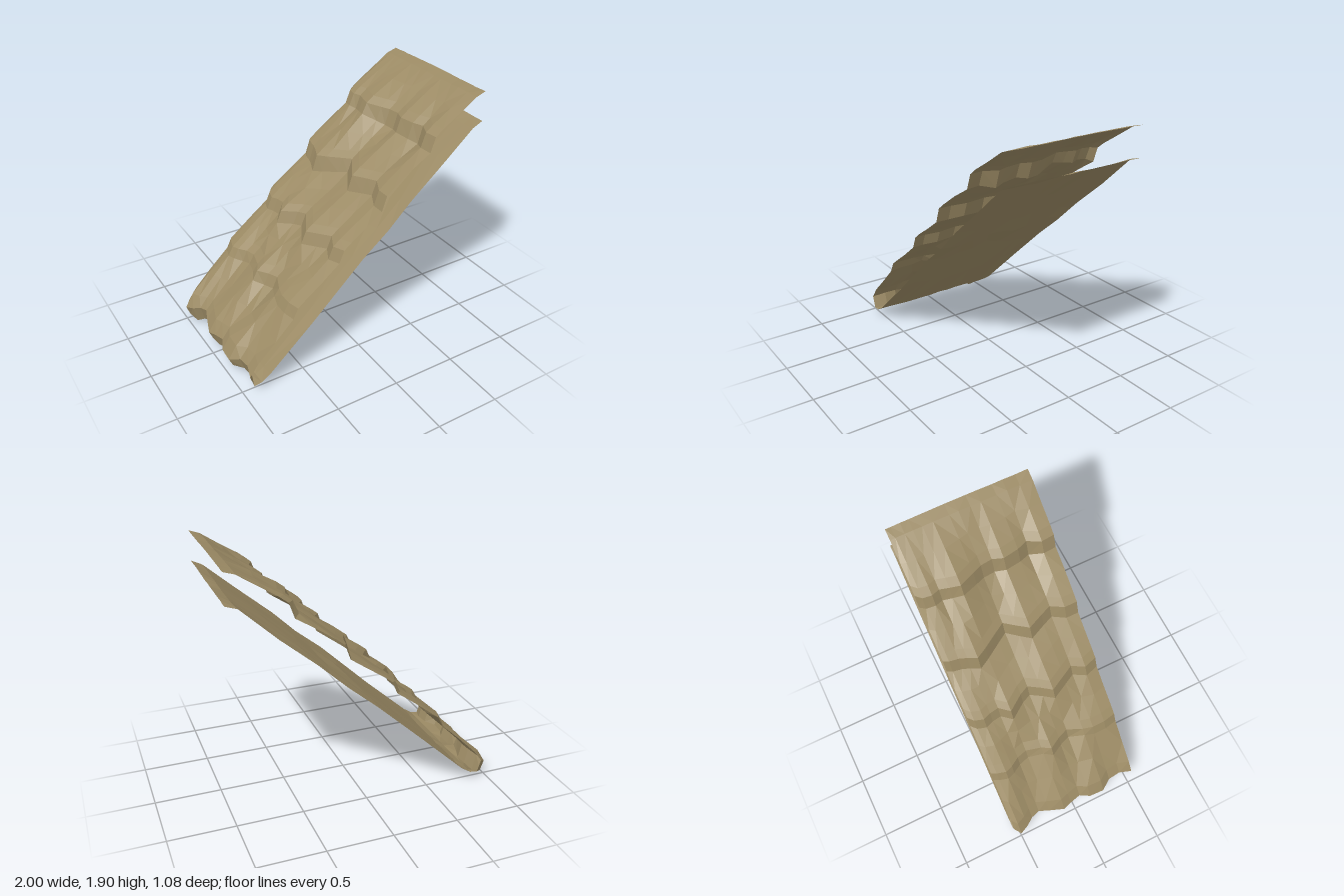
import * as THREE from 'three';

// positions across the roof, and where each course of thatch ends at them
const Z = [-0.54, -0.5, -0.43, -0.37, -0.3, -0.22, -0.1, -0.03, 0.06, 0.14, 0.26, 0.34, 0.44, 0.54];
const EAVE = [-0.95, -1, -0.97, -0.93, -0.91, -0.94, -0.98, -0.96, -0.94, -0.98, -0.985, -0.93, -0.92, -0.95];
const EAVE_Y = [0.05, 0.03, 0, 0.04, 0.055, 0.06, 0.05, 0.03, 0.05, 0.055, 0.055, 0.06, 0.06, 0.05];
// courses from top to bottom: mean x, lip and foot heights there, how those
// heights change with x, lip x at each position, optional riser strength
const COURSES = [
  { mid: 0.56, lip: 1.645, foot: 1.54, lipSlope: 0, footSlope: -0.45,
    x: [0.58, 0.54, 0.53, 0.55, 0.53, 0.51, 0.56, 0.59, 0.6, 0.57, 0.59, 0.62, 0.57, 0.58] },
  { mid: 0.18, lip: 1.29, foot: 1.175, lipSlope: 0.3, footSlope: 0.45,
    x: [0.19, 0.17, 0.16, 0.14, 0.11, 0.15, 0.22, 0.26, 0.2, 0.15, 0.2, 0.23, 0.18, 0.18] },
  { mid: -0.21, lip: 0.94, foot: 0.845, lipSlope: 0.35, footSlope: 0.35,
    x: [-0.17, -0.21, -0.23, -0.21, -0.2, -0.26, -0.18, -0.15, -0.2, -0.25, -0.19, -0.15, -0.2, -0.17] },
  { mid: -0.55, lip: 0.6, foot: 0.515, lipSlope: 0.2, footSlope: 0,
    x: [-0.55, -0.57, -0.59, -0.57, -0.53, -0.51, -0.54, -0.58, -0.53, -0.5, -0.55, -0.57, -0.57, -0.55],
    riser: [0.9, 0.9, 0.9, 0.9, 0.9, 0.6, 0.4, 0.9, 1, 0.9, 0.4, 0.9, 0.9, 0.9] },
];

// seeded unevenness, smoothed across neighbouring positions
const hash = (i, j) => {
  const s = Math.sin(i * 127.1 + j * 311.7) * 43758.55;
  return (s - Math.floor(s)) * 2 - 1;
};
const noise = (i, j) => (hash(i, j) + hash(i + 1, j) + hash(i + 2, j)) / 2;

// faceted sheet through one profile per position, split along the shorter diagonals
function sheet(name, profiles, material) {
  const points = profiles.map((p, i) => p.map(([x, y]) => new THREE.Vector3(x, y, Z[i])));
  const corners = [];
  for (let i = 0; i < points.length - 1; i++) {
    for (let j = 0; j < points[i].length - 1; j++) {
      const a = points[i][j], b = points[i][j + 1];
      const c = points[i + 1][j], d = points[i + 1][j + 1];
      if (b.distanceTo(c) < a.distanceTo(d)) corners.push(a, b, c, b, d, c);
      else corners.push(a, b, d, a, d, c);
    }
  }
  const geometry = new THREE.BufferGeometry().setFromPoints(corners);
  geometry.computeVertexNormals();
  const mesh = new THREE.Mesh(geometry, material);
  mesh.name = name;
  return mesh;
}

// edge points shared by the eave face and the two sheets
const eaveTop = (i) => [EAVE[i] + 0.065, 0.235 + 0.3 * (EAVE[i] + 0.95)];
const eaveNose = (i) => [EAVE[i], 0.11 + 0.7 * (EAVE[i] + 1)];
const eaveBottom = (i) => [EAVE[i] + 0.03, EAVE_Y[i]];

// overlapping courses, from the ridge end down to the eave
function topProfile(i) {
  const pts = [[1, 1.898 + 0.005 * noise(i, 1)], [0.92, 1.875 + 0.007 * noise(i, 2)]];
  const addMiddle = (to) => {
    const from = pts[pts.length - 1];
    pts.push([(from[0] + to[0]) / 2, (from[1] + to[1]) / 2 + 0.007 * noise(i, pts.length)]);
  };
  for (const c of COURSES) {
    const x = c.x[i];
    const k = c.riser ? c.riser[i] : 1;
    const lipY = c.lip + c.lipSlope * (x - c.mid);
    const footY = c.foot + c.footSlope * (x - c.mid);
    const shoulder = [x + 0.06, lipY + 0.047];
    addMiddle(shoulder);
    pts.push(shoulder, [x, lipY]);
    pts.push([x - 0.04, THREE.MathUtils.lerp(lipY - 0.035, footY, k)]);
  }
  addMiddle(eaveTop(i));
  pts.push(eaveTop(i));
  return pts;
}

// thin, slightly uneven underside
const UNDER = [[-0.79, 0.1], [-0.42, 0.44], [-0.03, 0.81], [0.2, 1.0], [0.39, 1.175], [0.65, 1.405], [0.92, 1.64]];
function underProfile(i) {
  const pts = UNDER.map(([x, y], j) => {
    const slide = 0.07 * noise(i, j + 20) * (j > 0 && j < 6 ? 1 : 0.15);
    return [x + slide, y + slide * 0.9 + 0.011 * noise(i, j + 40)];
  });
  return [eaveBottom(i), [-0.86, 0.06], ...pts, [1, 1.672 + 0.005 * noise(i, 60)]];
}

export function createModel() {
  const group = new THREE.Group();
  group.name = 'thatchedRoofSection';
  const thatch = new THREE.MeshStandardMaterial({ color: 0x9b8a64 });
  thatch.name = 'dry straw';
  thatch.side = THREE.DoubleSide;
  thatch.flatShading = true;

  const build = (f) => Z.map((_, i) => f(i));
  group.add(
    sheet('thatchCourses', build(topProfile), thatch),
    sheet('eaveFace', build((i) => [eaveTop(i), eaveNose(i), eaveBottom(i)]), thatch),
    sheet('underside', build(underProfile), thatch),
  );
  return group;
}
